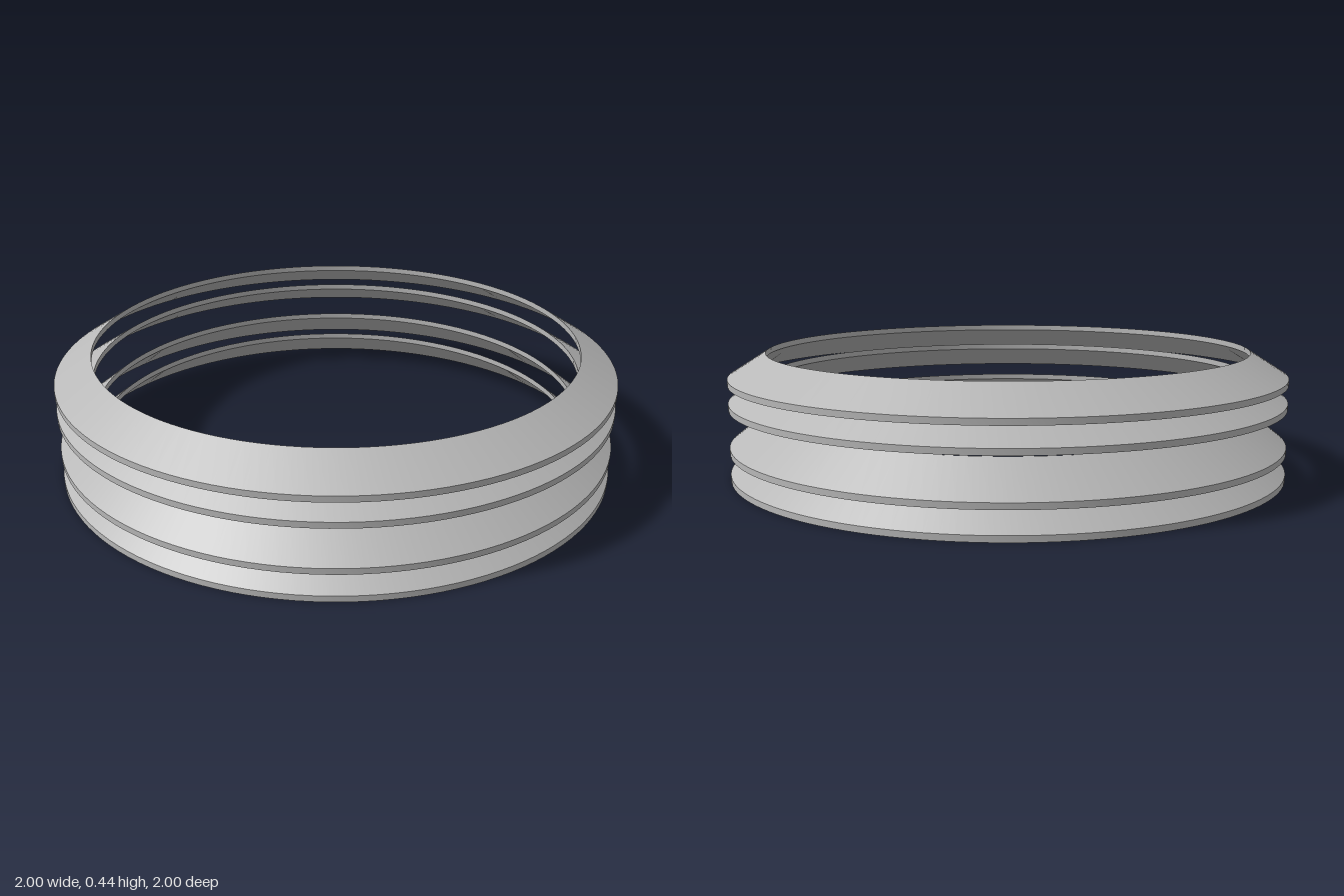
import * as THREE from 'three';
import { toCreasedNormals } from 'three/addons/utils/BufferGeometryUtils.js';

const OUTER = 1;
const INNER = 0.867;
const WALL = 0.021; // height of the vertical rims

// Conical disc spring: sloped band with vertical inner and outer rims
function discSpring(height) {
  const profile = [
    [OUTER, 0],
    [OUTER, WALL],
    [INNER, height],
    [INNER, height - WALL],
    [OUTER, 0],
  ].map(([x, y]) => new THREE.Vector2(x, y));
  return toCreasedNormals(new THREE.LatheGeometry(profile, 128), 0.4);
}

export function createModel() {
  const steel = new THREE.MeshStandardMaterial({ color: 0xb8b8b8 });
  steel.name = 'steel grey';

  const group = new THREE.Group();
  group.name = 'discSpringStack';

  // Two nested pairs: the lower pair is slightly steeper
  const springs = [
    { name: 'lowerPairBottomSpring', y: 0, height: 0.125 },
    { name: 'lowerPairTopSpring', y: 0.095, height: 0.125 },
    { name: 'upperPairBottomSpring', y: 0.25, height: 0.105 },
    { name: 'upperPairTopSpring', y: 0.335, height: 0.105 },
  ];
  for (const { name, y, height } of springs) {
    const mesh = new THREE.Mesh(discSpring(height), steel);
    mesh.name = name;
    mesh.position.y = y;
    group.add(mesh);
  }
  return group;
}
